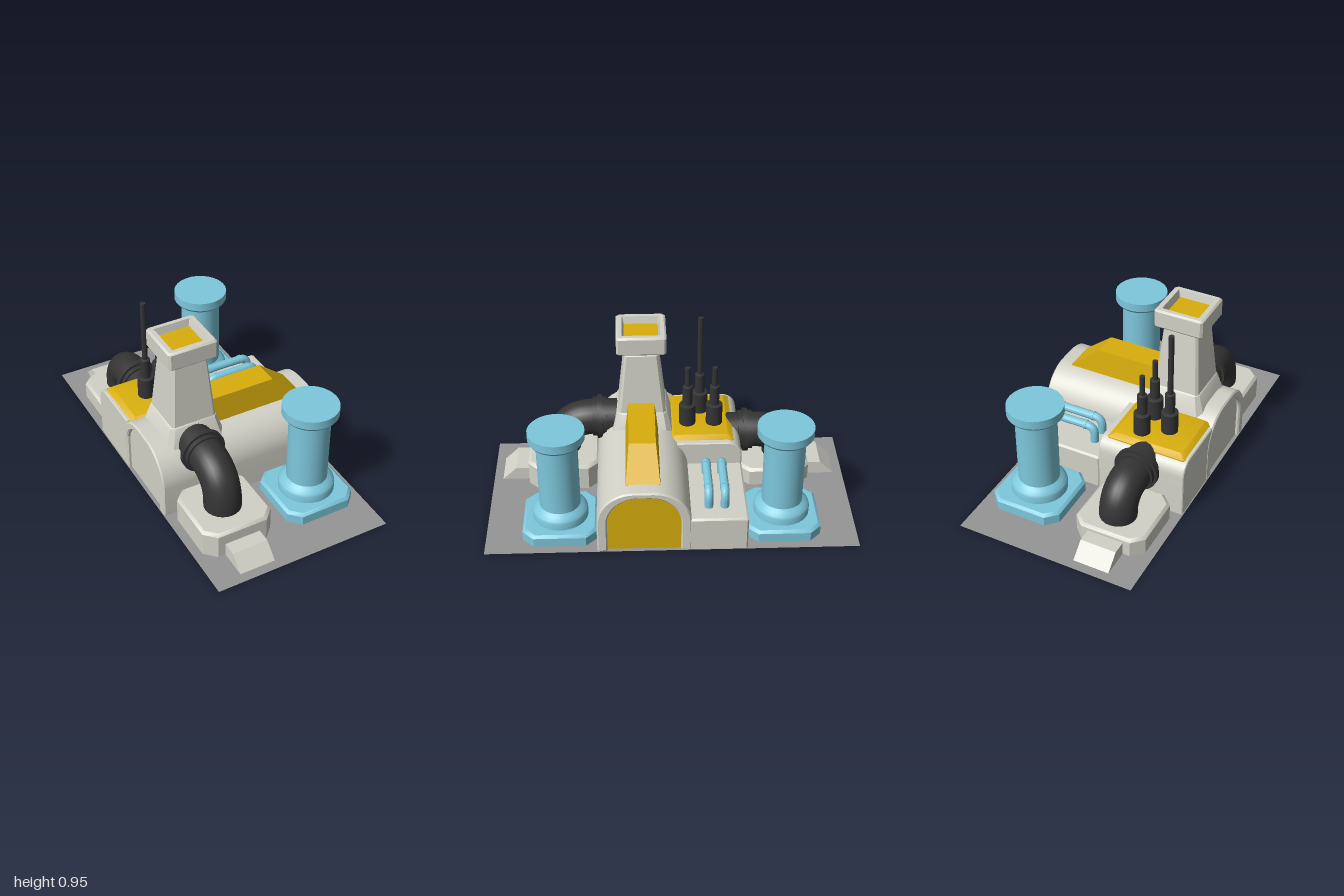
import * as THREE from 'three';
import { toCreasedNormals } from 'three/addons/utils/BufferGeometryUtils.js';

const mat = (color) => new THREE.MeshStandardMaterial({ color, side: THREE.DoubleSide });

// Stacks chamfered rectangles [y, halfX, halfZ, chamfer] into a closed solid.
function loft(sections, cx, cz) {
  const pos = [], idx = [];
  for (const [y, w, d, c] of sections) {
    const ring = [[w, d - c], [w - c, d], [c - w, d], [-w, d - c], [-w, c - d], [c - w, -d], [w - c, -d], [w, c - d]];
    for (const [x, z] of ring) pos.push(cx + x, y, cz + z);
  }
  const last = (sections.length - 1) * 8;
  for (let k = 0; k < last; k += 8) {
    for (let i = 0; i < 8; i++) {
      const a = k + i, b = k + (i + 1) % 8;
      idx.push(a, a + 8, b, b, a + 8, b + 8);
    }
  }
  for (let i = 1; i < 7; i++) {
    idx.push(0, i, i + 1);
    idx.push(last, last + i + 1, last + i);
  }
  const g = new THREE.BufferGeometry();
  g.setAttribute('position', new THREE.Float32BufferAttribute(pos, 3));
  g.setIndex(idx);
  return g;
}

// Extrudes a (z, y) outline along x from x0 to x1.
function extrudeX(points, x0, x1, bevel = 0) {
  const g = new THREE.ExtrudeGeometry(new THREE.Shape(points), {
    depth: x1 - x0 - 2 * bevel, bevelEnabled: bevel > 0, bevelSize: bevel,
    bevelThickness: bevel, bevelOffset: -bevel, bevelSegments: 1,
  });
  return g.rotateY(-Math.PI / 2).translate(x1 - bevel, 0, 0);
}

// Outline of a round-shouldered arch standing on y = 0.
function arch(cz, half, height, r) {
  const pts = [new THREE.Vector2(cz - half, 0)];
  for (const s of [-1, 1]) {
    for (let i = 0; i <= 12; i++) {
      const a = (s < 0 ? i : 12 - i) / 12 * Math.PI / 2;
      pts.push(new THREE.Vector2(cz + s * (half - r + r * Math.cos(a)), height - r + r * Math.sin(a)));
    }
  }
  pts.push(new THREE.Vector2(cz + half, 0));
  return pts;
}

// Tube along a polyline with rounded bends.
function pipe(points, bend, radius) {
  const p = points.map((v) => new THREE.Vector3(...v));
  const path = new THREE.CurvePath();
  let from = p[0];
  for (let i = 1; i < p.length - 1; i++) {
    const a = p[i].clone().add(p[i - 1].clone().sub(p[i]).setLength(bend));
    const b = p[i].clone().add(p[i + 1].clone().sub(p[i]).setLength(bend));
    path.add(new THREE.LineCurve3(from, a));
    path.add(new THREE.QuadraticBezierCurve3(a, p[i], b));
    from = b;
  }
  path.add(new THREE.LineCurve3(from, p[p.length - 1]));
  return new THREE.TubeGeometry(path, 48, radius, 24);
}

export function createModel() {
  const model = new THREE.Group();
  const body = mat(0xd3d2c8), blue = mat(0x7ec8dd), yellow = mat(0xd8ae0c), dark = mat(0x343434);
  const parts = new THREE.Group();
  parts.name = 'building';
  parts.position.y = 0.002;
  model.add(parts);
  const add = (name, geometry, material, parent = parts) => {
    const m = new THREE.Mesh(toCreasedNormals(geometry, 0.6), material);
    m.name = name;
    parent.add(m);
    return m;
  };

  // Ground slab
  add('ground', new THREE.PlaneGeometry(1, 2).rotateX(-Math.PI / 2), mat(0x969696), model);

  // Arched hall with recessed end panels
  const inner = arch(0.15, 0.195, 0.345, 0.165);
  add('hall', extrudeX([...arch(0.15, 0.25, 0.38, 0.2), ...[...inner].reverse()], -0.5, 0.5, 0.008), body);
  add('hallDoor', extrudeX(inner, 0.44, 0.48), yellow);
  add('hallBackPanel', extrudeX(inner, -0.48, -0.44), body);

  // Tall rear annex with a rounded back edge, and low annex beside it
  const annex = [new THREE.Vector2(-0.04, 0), new THREE.Vector2(-0.04, 0.33)];
  for (let i = 0; i <= 8; i++) {
    const a = Math.PI / 2 * (1 + i / 8);
    annex.push(new THREE.Vector2(-0.32 + 0.08 * Math.cos(a), 0.25 + 0.08 * Math.sin(a)));
  }
  annex.push(new THREE.Vector2(-0.4, 0));
  add('tallAnnex', extrudeX(annex, -0.497, 0, 0.005), body);
  add('lowAnnex', loft([[0, 0.25, 0.16, 0.008], [0.19, 0.25, 0.16, 0.008], [0.2, 0.24, 0.15, 0.008]], 0.248, -0.24), body);
  add('annexRoof', loft([[0.315, 0.225, 0.18, 0.01], [0.328, 0.225, 0.18, 0.01], [0.35, 0.195, 0.15, 0.01]], -0.255, -0.175), yellow);

  // Sloped ridge on the hall roof, narrowing upwards
  const ridge = new THREE.ExtrudeGeometry(new THREE.Shape([
    [-0.15, 0.36], [0.42, 0.36], [0.42, 0.38], [0.25, 0.52], [-0.15, 0.52],
  ].map((v) => new THREE.Vector2(...v))), { depth: 2, bevelEnabled: false }).translate(0, 0, -1);
  const rp = ridge.attributes.position;
  for (let i = 0; i < rp.count; i++) {
    rp.setZ(i, 0.152 + rp.getZ(i) * (0.09 - (rp.getY(i) - 0.38) / 0.14 * 0.018));
  }
  add('roofRidge', ridge, yellow);

  // Chimney tower: flared foot, tapered shaft, neck and hollow cap
  add('towerFoot', loft([[0.28, 0.19, 0.18, 0.035], [0.455, 0.135, 0.137, 0.02], [0.462, 0.128, 0.13, 0.02]], -0.25, 0.147), body);
  add('towerShaft', loft([[0.44, 0.13, 0.133, 0.015], [0.805, 0.1, 0.092, 0.012], [0.81, 0.095, 0.087, 0.012],
    [0.82, 0.09, 0.085, 0.01], [0.835, 0.09, 0.085, 0.01]], -0.25, 0.147), body);
  add('towerCap', loft([[0.83, 0.128, 0.126, 0.012], [0.84, 0.138, 0.135, 0.012], [0.928, 0.138, 0.135, 0.012],
    [0.938, 0.128, 0.125, 0.012], [0.938, 0.104, 0.103, 0.004], [0.89, 0.092, 0.093, 0.004]], -0.252, 0.147), body);
  add('towerCapInset', new THREE.BoxGeometry(0.185, 0.01, 0.186).translate(-0.252, 0.893, 0.147), yellow);

  // Pipe footings with sloped toes, front and back
  for (const [side, h] of [[1, 0.15], [-1, 0.105]]) {
    const label = side > 0 ? 'front' : 'rear';
    add(label + 'Footing', loft([[0, 0.2, 0.2, 0.06], [h - 0.015, 0.2, 0.2, 0.06], [h, 0.185, 0.185, 0.054]], -0.25, 0.595 * side), body);
    const toe = [[0.76, 0], [0.95, 0], [0.87, 0.075], [0.76, 0.075]].map(([z, y]) => new THREE.Vector2(z * side, y));
    add(label + 'Toe', extrudeX(toe, -0.35, -0.15), body);
  }

  // Large dark elbows with wall flanges
  const elbows = [['front', -0.26, 0.35, 0.28, 0.6, 0.13, 0.19, 0.385], ['rear', -0.245, 0.25, -0.3, -0.64, 0.09, 0.14, -0.435]];
  for (const [label, x, y, z0, z1, foot, bend, zf] of elbows) {
    add(label + 'Elbow', pipe([[x, y, z0], [x, y, z1], [x, foot, z1]], bend, 0.1), dark);
    add(label + 'Flange', new THREE.CylinderGeometry(0.124, 0.124, 0.028, 32).rotateX(Math.PI / 2).translate(x, y, zf), dark);
    add(label + 'Collar', new THREE.CylinderGeometry(0.11, 0.11, 0.08, 32).rotateX(Math.PI / 2).translate(x, y, zf), dark);
  }

  // Two blue columns on chamfered plinths
  const profile = [[0, 0.06], [0.15, 0.06], [0.15, 0.105], [0.145, 0.118], [0.128, 0.132], [0.115, 0.142], [0.11, 0.146],
    [0.11, 0.543], [0.125, 0.546], [0.14, 0.553], [0.15, 0.567], [0.15, 0.615], [0, 0.615]].map((v) => new THREE.Vector2(...v));
  for (const side of [1, -1]) {
    const column = new THREE.Group();
    column.name = side > 0 ? 'frontColumn' : 'rearColumn';
    column.position.set(0.25, 0, 0.6 * side);
    parts.add(column);
    add('plinth', loft([[0, 0.2, 0.2, 0.06], [0.052, 0.2, 0.2, 0.06], [0.066, 0.185, 0.185, 0.054]], 0, 0), blue, column);
    add('shaft', new THREE.LatheGeometry(profile, 40), blue, column);
  }

  // Small blue pipes over the low annex
  for (const z of [-0.195, -0.28]) {
    add('smallPipe', pipe([[0.088, 0.19, z], [0.088, 0.293, z], [0.385, 0.293, z], [0.385, 0.19, z]], 0.05, 0.023), blue);
    for (const x of [0.14, 0.335]) {
      add('smallPipeCollar', new THREE.CylinderGeometry(0.026, 0.026, 0.012, 20).rotateZ(Math.PI / 2).translate(x, 0.293, z), blue);
    }
  }

  // Stepped antennas on the annex roof
  for (const [x, z, top] of [[-0.31, -0.18, 0.95], [-0.185, -0.255, 0.71], [-0.185, -0.105, 0.71]]) {
    const steps = [[0, 0.34], [0.046, 0.34], [0.046, 0.47], [0.027, 0.475], [0.027, 0.588], [0.015, 0.592], [0.015, top - 0.002], [0, top - 0.002]];
    add('antenna', new THREE.LatheGeometry(steps.map((v) => new THREE.Vector2(...v)), 20).translate(x, 0, z), dark);
  }
  return model;
}
